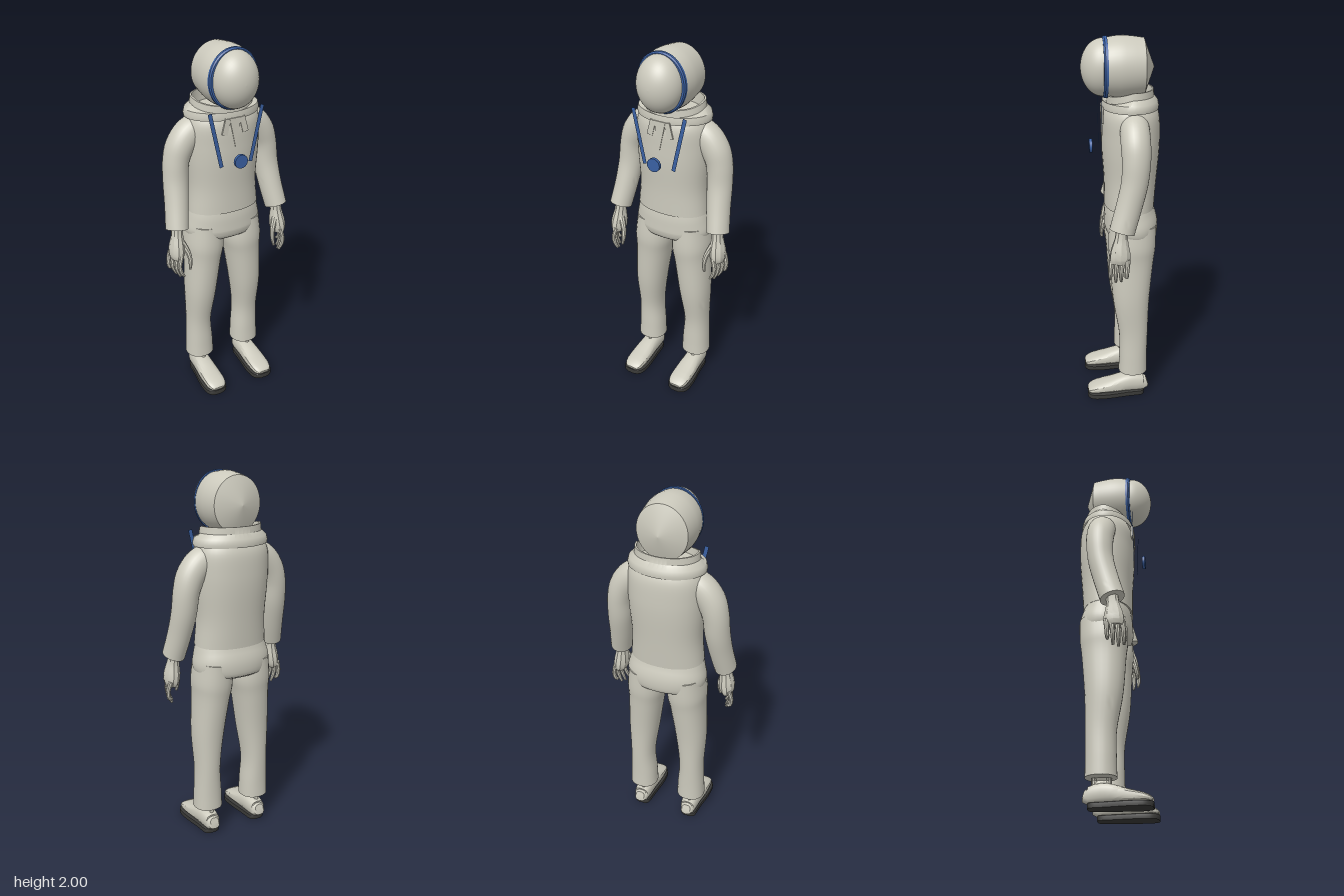
import * as THREE from 'three';
import { toCreasedNormals } from 'three/addons/utils/BufferGeometryUtils.js';

const material = (name, color) => {
  const m = new THREE.MeshStandardMaterial({ color, side: THREE.DoubleSide });
  m.name = name;
  return m;
};

// Capped loft through rings [x, y, z, halfWidth, halfDepth], smoothly interpolated.
// ref gives the depth direction; power above 2 makes the section boxier.
function loft(rings, { seg = 28, steps = 5, power = 2, ref = new THREE.Vector3(0, 0, 1), crease = 0.7 } = {}) {
  const path = new THREE.CatmullRomCurve3(rings.map(r => new THREE.Vector3(r[0], r[1], r[2])), false, 'catmullrom');
  const size = new THREE.CatmullRomCurve3(rings.map(r => new THREE.Vector3(r[3], r[4], 0)), false, 'catmullrom');
  const n = (rings.length - 1) * steps;
  const pos = [], index = [];
  const round = v => Math.sign(v) * Math.pow(Math.abs(v), 2 / power);
  for (let i = 0; i <= n; i++) {
    const c = path.getPoint(i / n), s = size.getPoint(i / n), t = path.getTangent(i / n);
    const w = ref.clone().addScaledVector(t, -ref.dot(t)).normalize();
    const u = w.clone().cross(t);
    for (let j = 0; j < seg; j++) {
      const a = j / seg * Math.PI * 2;
      const p = c.clone().addScaledVector(u, s.x * round(Math.cos(a))).addScaledVector(w, s.y * round(Math.sin(a)));
      pos.push(p.x, p.y, p.z);
      if (i < n) {
        const k = i * seg + j, l = i * seg + (j + 1) % seg;
        index.push(k, l, k + seg, l, l + seg, k + seg);
      }
    }
  }
  // end caps
  const first = path.getPoint(0), last = path.getPoint(1), m = (n + 1) * seg;
  pos.push(first.x, first.y, first.z, last.x, last.y, last.z);
  for (let j = 0; j < seg; j++) {
    const k = (j + 1) % seg;
    index.push(m, k, j, m + 1, n * seg + j, n * seg + k);
  }
  const g = new THREE.BufferGeometry();
  g.setAttribute('position', new THREE.Float32BufferAttribute(pos, 3));
  g.setIndex(index);
  return toCreasedNormals(g, crease);
}

// Lathe from [radius, height] pairs
const lathe = (points, seg = 48) =>
  new THREE.LatheGeometry(points.map(p => new THREE.Vector2(p[0], p[1])), seg);

export function createModel() {
  const root = new THREE.Group();
  const suit = material('suit grey', 0xcccabd);
  const blue = material('trim blue', 0x3a60a2);
  const dark = material('sole dark', 0x3a3a38);
  const add = (name, geometry, mat, parent = root) => {
    const mesh = new THREE.Mesh(geometry, mat);
    mesh.name = name;
    parent.add(mesh);
    return mesh;
  };

  // Helmet: barrel lying along z with a conical back
  const alongZ = (g, sy, z = 0) => g.rotateX(Math.PI / 2).scale(1, sy, 1).translate(0, 1.84, z);
  add('helmet', toCreasedNormals(alongZ(lathe([[0, -0.175], [0.134, -0.12], [0.141, -0.07], [0.146, -0.02],
    [0.146, 0.01], [0.142, 0.045], [0.136, 0.08], [0, 0.082]]), 1.09), 0.6), suit);
  add('visorRing', toCreasedNormals(alongZ(lathe([[0.12, 0.07], [0.139, 0.07], [0.139, 0.084], [0.133, 0.092],
    [0.12, 0.092], [0.12, 0.07]]), 1.13), 0.6), blue);
  const dome = [];
  for (let i = 0; i <= 14; i++) {
    const a = i / 14 * Math.PI / 2;
    dome.push([0.122 * Math.cos(a), 0.115 * Math.sin(a)]);
  }
  add('visor', alongZ(lathe(dome), 1.21, 0.09), suit);

  // Neck collar, lower at the front
  const collar = lathe([[0.205, 1.635], [0.207, 1.65], [0.2, 1.675], [0.172, 1.7], [0.168, 1.735],
    [0.158, 1.735], [0.152, 1.67], [0, 1.665]].reverse());
  collar.scale(1, 1, 0.72);
  const cp = collar.attributes.position;
  for (let i = 0; i < cp.count; i++) {
    if (cp.getY(i) > 1.68) cp.setY(i, cp.getY(i) - Math.max(0, cp.getZ(i)) * 0.3);
  }
  collar.index.array.reverse();
  collar.translate(0, 0, -0.05);
  add('collar', toCreasedNormals(collar, 0.6), suit);

  // Jacket and hips
  add('jacket', loft([[0, 1.665, -0.05, 0.175, 0.125], [0, 1.6, -0.051, 0.202, 0.149], [0, 1.5, -0.053, 0.205, 0.153],
    [0, 1.4, -0.052, 0.201, 0.151], [0, 1.25, -0.05, 0.191, 0.14], [0, 1.105, -0.045, 0.202, 0.134]],
    { seg: 40, power: 2.2 }), suit);
  add('hips', loft([[0, 1.13, -0.045, 0.192, 0.124], [0, 1.07, -0.048, 0.208, 0.136], [0, 1.0, -0.055, 0.221, 0.145],
    [0, 0.95, -0.052, 0.2, 0.132], [0, 0.915, -0.05, 0.12, 0.07]], { seg: 40, power: 2.2 }), suit);

  // Neck opening
  const vee = new THREE.Shape([[-0.033, 1.645], [0, 1.49], [0.033, 1.645]].map(p => new THREE.Vector2(...p)));
  add('neckPlacket', new THREE.ExtrudeGeometry(vee, { depth: 0.006, bevelEnabled: false }).translate(0, 0, 0.097), suit);

  // Floating chest badge
  add('chestBadge', new THREE.CylinderGeometry(0.037, 0.037, 0.016, 20).rotateX(Math.PI / 2).translate(0, 1.43, 0.158), blue);

  for (const s of [1, -1]) {
    const side = new THREE.Group();
    side.name = s > 0 ? 'leftSide' : 'rightSide';
    root.add(side);
    const part = (name, rings, mat, options) =>
      add(name, loft(rings.map(([x, ...rest]) => [x * s, ...rest]), options), mat, side);

    // Chest strap and collar flap
    add('chestStrap', new THREE.PlaneGeometry(0.022, 0.305).rotateZ(-s * 0.215).translate(s * 0.117, 1.543, 0.11), blue, side);
    add('collarFlap', new THREE.BoxGeometry(0.032, 0.085, 0.008).rotateZ(s * 0.25).translate(s * 0.05, 1.602, 0.097), suit, side);

    // Sleeve
    part('sleeve', [[0.1, 1.595, -0.055, 0.06, 0.07], [0.18, 1.555, -0.055, 0.076, 0.075], [0.235, 1.49, -0.055, 0.076, 0.076],
      [0.263, 1.41, -0.055, 0.069, 0.073], [0.273, 1.3, -0.045, 0.067, 0.069], [0.286, 1.18, -0.015, 0.063, 0.067],
      [0.305, 1.055, 0.022, 0.06, 0.066]], suit);

    // Hand
    part('palm', [[0.303, 1.08, 0.018, 0.032, 0.034], [0.307, 1.02, 0.025, 0.032, 0.034], [0.312, 0.96, 0.03, 0.042, 0.05],
      [0.318, 0.91, 0.032, 0.04, 0.055], [0.322, 0.885, 0.034, 0.028, 0.046]], suit, { seg: 10, steps: 2, crease: 0.5 });
    for (let i = 0; i < 4; i++) {
      const z = 0.075 - i * 0.027, x = 0.308 + i * 0.01, tip = [0.79, 0.778, 0.785, 0.815][i];
      part('finger', [[x, 0.915, z, 0.014, 0.014], [x + 0.015, 0.86, z + 0.006, 0.012, 0.012],
        [x + 0.008, 0.82, z + 0.008, 0.011, 0.011], [x - 0.01, tip, z + 0.006, 0.007, 0.007]],
        suit, { seg: 8, steps: 2 });
    }
    part('thumb', [[0.29, 0.98, 0.045, 0.018, 0.018], [0.264, 0.92, 0.065, 0.014, 0.014],
      [0.258, 0.87, 0.078, 0.012, 0.012], [0.264, 0.825, 0.083, 0.007, 0.007]], suit, { seg: 8, steps: 2 });

    // Trouser leg
    part('trouserLeg', [[0.115, 1.02, -0.055, 0.095, 0.125], [0.117, 0.9, -0.05, 0.106, 0.128], [0.125, 0.8, -0.048, 0.096, 0.117],
      [0.143, 0.6, -0.045, 0.085, 0.1], [0.152, 0.4, -0.057, 0.069, 0.08], [0.15, 0.25, -0.056, 0.076, 0.078],
      [0.15, 0.155, -0.055, 0.08, 0.08]], suit, { power: 2.2 });

    // Shoe
    part('ankle', [[0.15, 0.2, -0.052, 0.042, 0.05], [0.15, 0.08, -0.052, 0.045, 0.052]], suit, { seg: 12, steps: 1 });
    const up = new THREE.Vector3(0, 1, 0);
    part('shoeUpper', [[0.15, 0.075, -0.137, 0.026, 0.025], [0.15, 0.068, -0.115, 0.042, 0.045], [0.15, 0.075, -0.05, 0.05, 0.053],
      [0.151, 0.072, 0.0, 0.053, 0.049], [0.152, 0.06, 0.07, 0.058, 0.038], [0.152, 0.05, 0.15, 0.058, 0.026],
      [0.152, 0.042, 0.185, 0.048, 0.017], [0.152, 0.038, 0.198, 0.032, 0.01]],
      suit, { seg: 16, steps: 2, power: 2.6, ref: up, crease: 0.5 });
    part('sole', [[0.15, 0.015, -0.118, 0.025, 0.015], [0.15, 0.015, -0.1, 0.045, 0.015], [0.15, 0.015, -0.02, 0.053, 0.015],
      [0.152, 0.015, 0.08, 0.066, 0.015], [0.153, 0.015, 0.155, 0.066, 0.015], [0.153, 0.015, 0.19, 0.05, 0.015],
      [0.153, 0.015, 0.202, 0.025, 0.015]], dark, { seg: 16, steps: 3, power: 9, ref: up });
  }
  return root;
}
